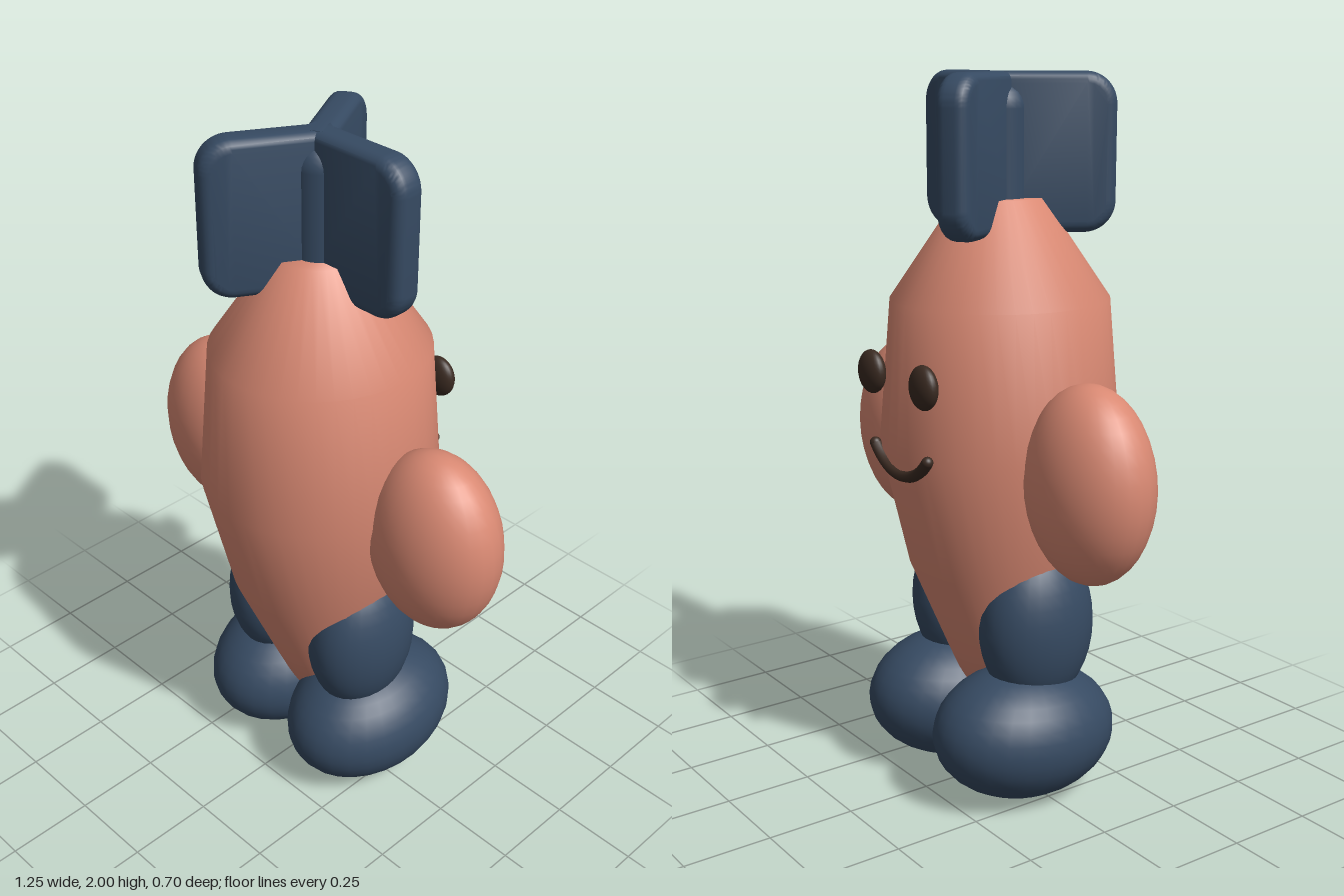
import * as THREE from 'three';
import { toCreasedNormals } from 'three/addons/utils/BufferGeometryUtils.js';

const material = (name, color) => Object.assign(new THREE.MeshStandardMaterial({ color }), { name });

export function createModel() {
  const model = new THREE.Group();
  model.name = 'finnedCharacter';
  const salmon = material('salmon', 0xd98973);
  const navy = material('navy', 0x364a62);
  const brown = material('darkBrown', 0x3a2a21);

  const add = (name, geometry, mat, x = 0, y = 0, z = 0) => {
    const mesh = new THREE.Mesh(geometry, mat);
    mesh.name = name;
    mesh.position.set(x, y, z);
    model.add(mesh);
    return mesh;
  };
  const ellipsoid = (name, mat, [x, y, z], [rx, ry, rz]) =>
    add(name, new THREE.SphereGeometry(1, 28, 18).scale(rx, ry, rz), mat, x, y, z);

  // Tapered body with a small flat crown
  const profile = [[0, 0.25], [0.09, 0.25], [0.155, 0.4], [0.26, 0.65], [0.34, 1.0], [0.306, 1.4], [0.12, 1.67], [0, 1.67]]
    .map(([r, y]) => new THREE.Vector2(r, y));
  add('body', new THREE.LatheGeometry(profile, 40), salmon, 0, 0, 0.01).scale.x = 0.96;

  // Paired limbs and eyes
  for (const [side, s] of [['left', 1], ['right', -1]]) {
    ellipsoid(side + 'Arm', salmon, [s * 0.417, 0.963, -0.005], [0.206, 0.268, 0.15]);
    ellipsoid(side + 'Leg', navy, [s * 0.17, 0.5, 0.013], [0.135, 0.24, 0.173]);
    ellipsoid(side + 'Foot', navy, [s * 0.17, 0.194, -0.028], [0.21, 0.19, 0.278]).rotation.x = 0.07;
    ellipsoid(side + 'Eye', brown, [s * 0.128, 1.21, -0.325], [0.055, 0.06, 0.03]);
  }

  // Smile: an arc of a thin ring, with round ends
  const R = 0.163, half = 0.92, tube = 0.016;
  const smile = new THREE.TorusGeometry(R, tube, 10, 28, 2 * half).rotateZ(-Math.PI / 2 - half);
  add('mouth', smile, brown, 0, 1.108, -0.317);
  for (const s of [-1, 1])
    ellipsoid('mouthEnd', brown, [s * R * Math.sin(half), 1.108 - R * Math.cos(half), -0.317], [tube, tube, tube]);

  // Three rounded tail fins around a hub
  const x0 = -0.03, x1 = 0.312, y0 = 1.575, y1 = 2, c = 0.085;
  const outline = new THREE.Shape();
  outline.moveTo(x0, y0);
  outline.lineTo(x1 - c, y0);
  outline.absarc(x1 - c, y0 + c, c, -Math.PI / 2, 0);
  outline.absarc(x1 - c, y1 - c, c, 0, Math.PI / 2);
  outline.lineTo(x0, y1);
  outline.closePath();
  const bevel = 0.03;
  const fin = toCreasedNormals(new THREE.ExtrudeGeometry(outline, {
    depth: 0.03, bevelThickness: bevel, bevelSize: bevel, bevelOffset: -bevel, bevelSegments: 5, curveSegments: 10,
  }).translate(0, 0, -0.015), 0.7);
  for (let i = 0; i < 3; i++) add('fin' + (i + 1), fin, navy, 0, 0, 0.01).rotation.y = i * 2 * Math.PI / 3;
  add('finHub', new THREE.CapsuleGeometry(0.075, 0.34, 8, 24), navy, 0, 1.735, 0.01);

  return model;
}
